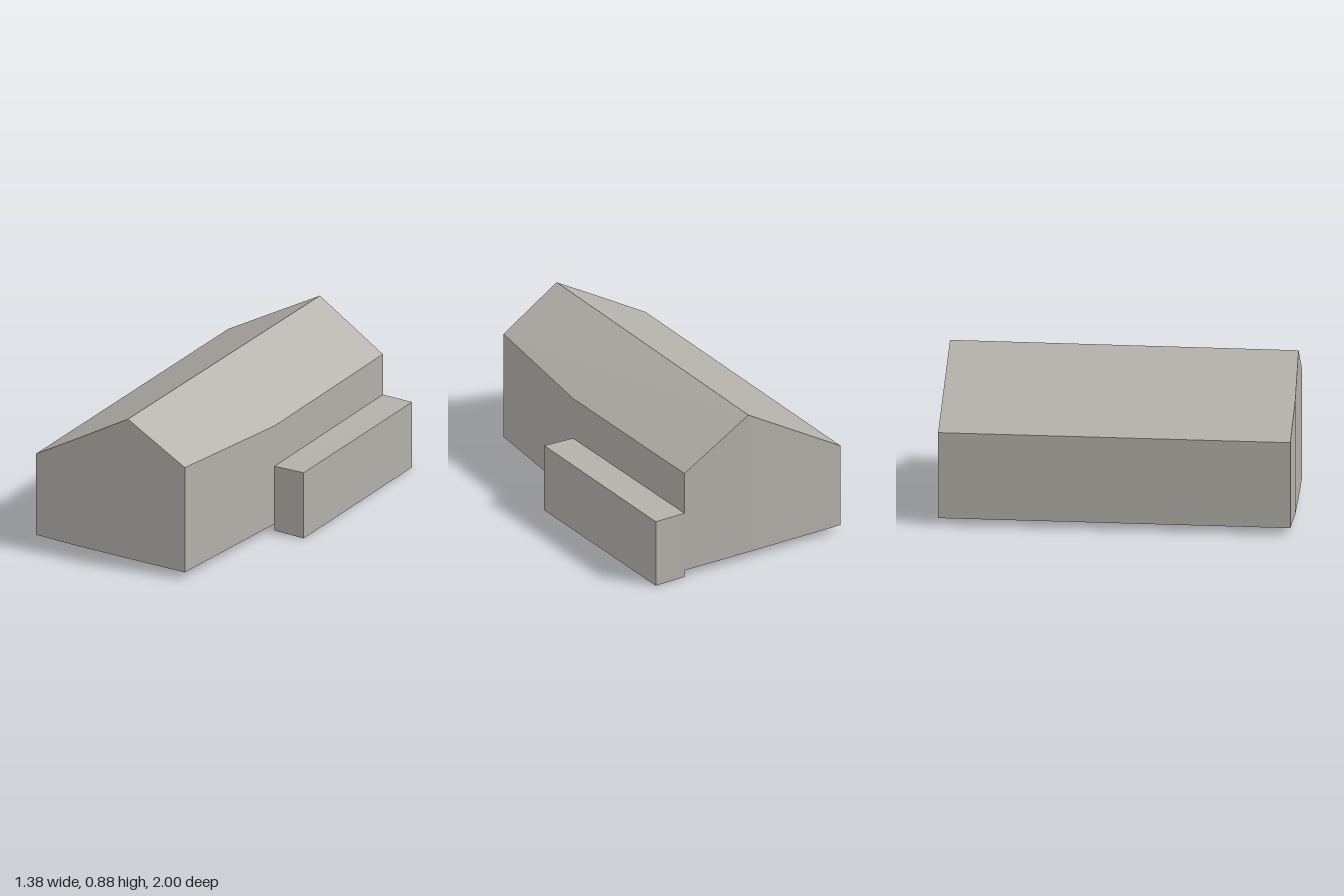
import * as THREE from 'three';

// Flat-faced surface from convex polygons, each listed counter-clockwise from outside
function faces(name, polygons, material) {
  const positions = [];
  for (const p of polygons) {
    for (let i = 1; i < p.length - 1; i++) positions.push(...p[0], ...p[i], ...p[i + 1]);
  }
  const geometry = new THREE.BufferGeometry();
  geometry.setAttribute('position', new THREE.Float32BufferAttribute(positions, 3));
  geometry.computeVertexNormals();
  const mesh = new THREE.Mesh(geometry, material);
  mesh.name = name;
  return mesh;
}

// Vertical walls and floor below a ring of top points
function wallsBelow(ring, base) {
  const foot = ring.map(([x, , z]) => [x, base, z]);
  const walls = ring.map((top, i) => {
    const j = (i + 1) % ring.length;
    return [foot[i], foot[j], ring[j], top];
  });
  return [...walls, foot.slice().reverse()];
}

export function createModel() {
  const group = new THREE.Group();
  group.name = 'building';
  const stone = new THREE.MeshStandardMaterial({ color: 0xb4b0aa });
  stone.name = 'warm grey';

  // Main hall: eaves and gable peaks, counter-clockwise from above
  const frontLeft = [-0.693, 0.53, 0.94];
  const frontMiddle = [-0.42, 0.693, 0.965];
  const frontPeak = [-0.1, 0.885, 0.98];
  const frontRight = [0.262, 0.675, 0.995];
  const sideBend = [0.405, 0.635, 0.205];
  const backRight = [0.5, 0.638, -0.895];
  const backPeak = [0.085, 0.885, -0.94];
  const backLeft = [-0.515, 0.53, -1.0];
  const hall = [frontLeft, frontMiddle, frontPeak, frontRight, sideBend, backRight, backPeak, backLeft];
  group.add(faces('hallWalls', wallsBelow(hall, 0.04), stone));

  // Two roof slopes meeting at the ridge
  group.add(faces('hallRoof', [
    [backPeak, backLeft, frontLeft, frontMiddle, frontPeak],
    [backPeak, frontPeak, frontRight, sideBend, backRight],
  ], stone));

  // Low flat-topped annex along the side
  const annex = [
    [0.405, 0.39, 0.205], [0.595, 0.398, 0.222],
    [0.69, 0.395, -0.88], [0.5, 0.393, -0.895],
  ];
  group.add(faces('annex', [...wallsBelow(annex, 0), annex], stone));

  return group;
}
